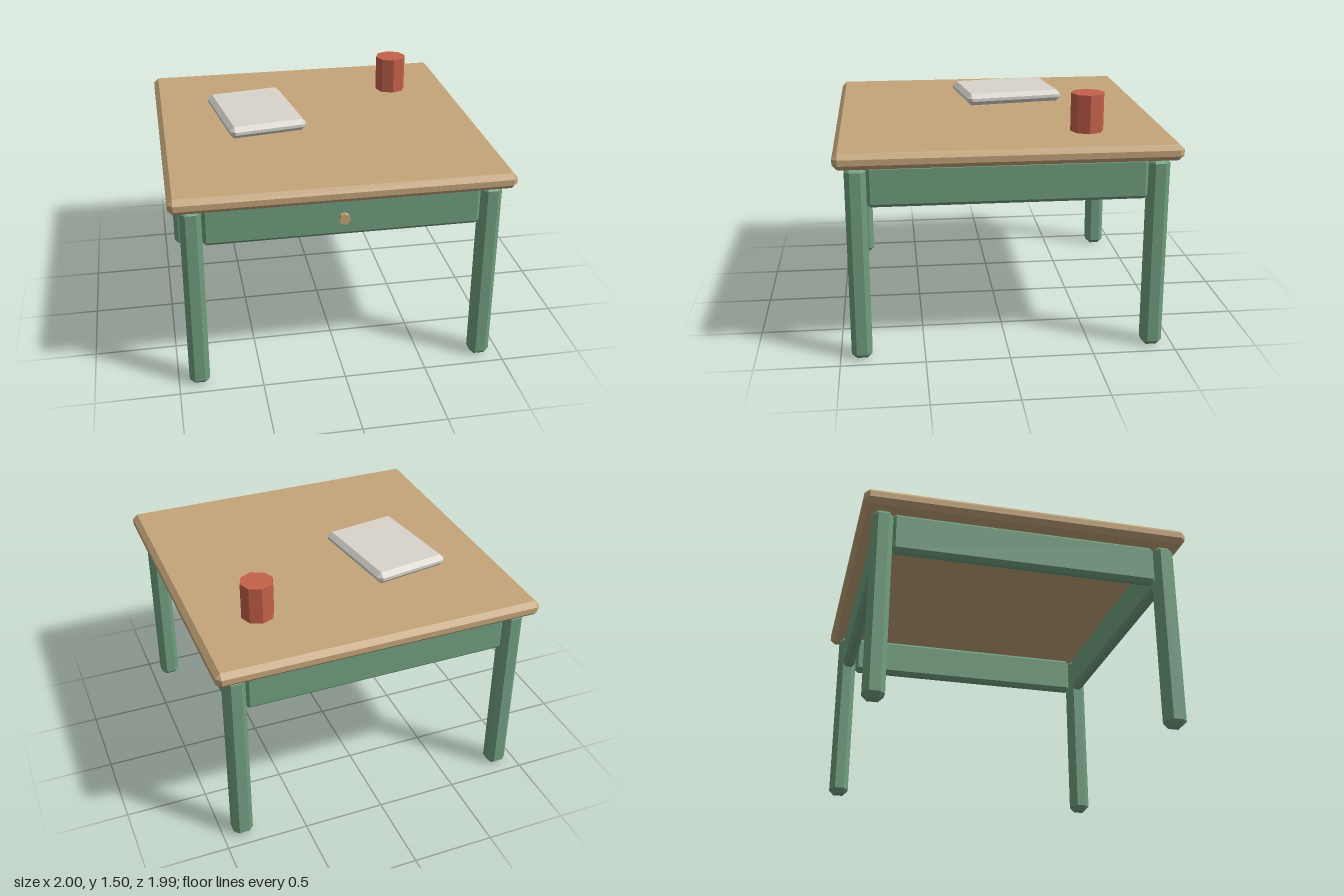
import * as THREE from 'three';
import { ConvexGeometry } from 'three/addons/geometries/ConvexGeometry.js';

const paint = (color) => new THREE.MeshStandardMaterial({ color, flatShading: true });

// Box with all edges cut at 45 degrees, centred on its origin
function chamferBox(w, h, d, c) {
  const half = [w / 2, h / 2, d / 2];
  const points = [];
  for (const sx of [-1, 1]) for (const sy of [-1, 1]) for (const sz of [-1, 1]) {
    for (let axis = 0; axis < 3; axis++) {
      const p = half.map((v, i) => (i === axis ? v : v - c));
      points.push(new THREE.Vector3(p[0] * sx, p[1] * sy, p[2] * sz));
    }
  }
  return new ConvexGeometry(points);
}

export function createModel() {
  const model = new THREE.Group();
  model.name = 'table';
  const wood = paint(0xc4a57a);
  const green = paint(0x709e7e);
  const red = paint(0xc4604a);
  const paper = paint(0xd8d4cc);

  const add = (name, geometry, material, x, y, z) => {
    const mesh = new THREE.Mesh(geometry, material);
    mesh.name = name;
    mesh.position.set(x, y, z);
    model.add(mesh);
    return mesh;
  };

  // Table top
  add('tableTop', chamferBox(2, 0.095, 1.99, 0.03), wood, 0, 1.228, 0);

  // Four legs
  const legGeometry = chamferBox(0.122, 1.18, 0.122, 0.03);
  for (const [sx, side] of [[-1, 'Right'], [1, 'Left']]) {
    for (const [sz, end] of [[-1, 'back'], [1, 'front']]) {
      add(`${end}${side}Leg`, legGeometry, green, sx * 0.875, 0.59, sz * 0.873);
    }
  }

  // Rails between the legs
  const railGeometry = chamferBox(1.63, 0.25, 0.08, 0.022);
  ['frontRail', 'leftRail', 'backRail', 'rightRail'].forEach((name, i) => {
    const a = (i * Math.PI) / 2;
    const rail = add(name, railGeometry, green, Math.sin(a) * 0.865, 1.055, Math.cos(a) * 0.865);
    rail.rotation.y = a;
  });

  // Knob on the front rail
  const knob = add('knob', new THREE.CylinderGeometry(0.033, 0.033, 0.04, 8), wood, 0, 1.048, 0.916);
  knob.rotation.x = Math.PI / 2;

  // Book lying askew and eight-sided cup
  const book = add('book', chamferBox(0.49, 0.075, 0.64, 0.028), paper, -0.376, 1.313, -0.128);
  book.rotation.y = 0.15;
  add('cup', new THREE.CylinderGeometry(0.1, 0.1, 0.23, 8), red, 0.6, 1.39, -0.5);

  return model;
}
